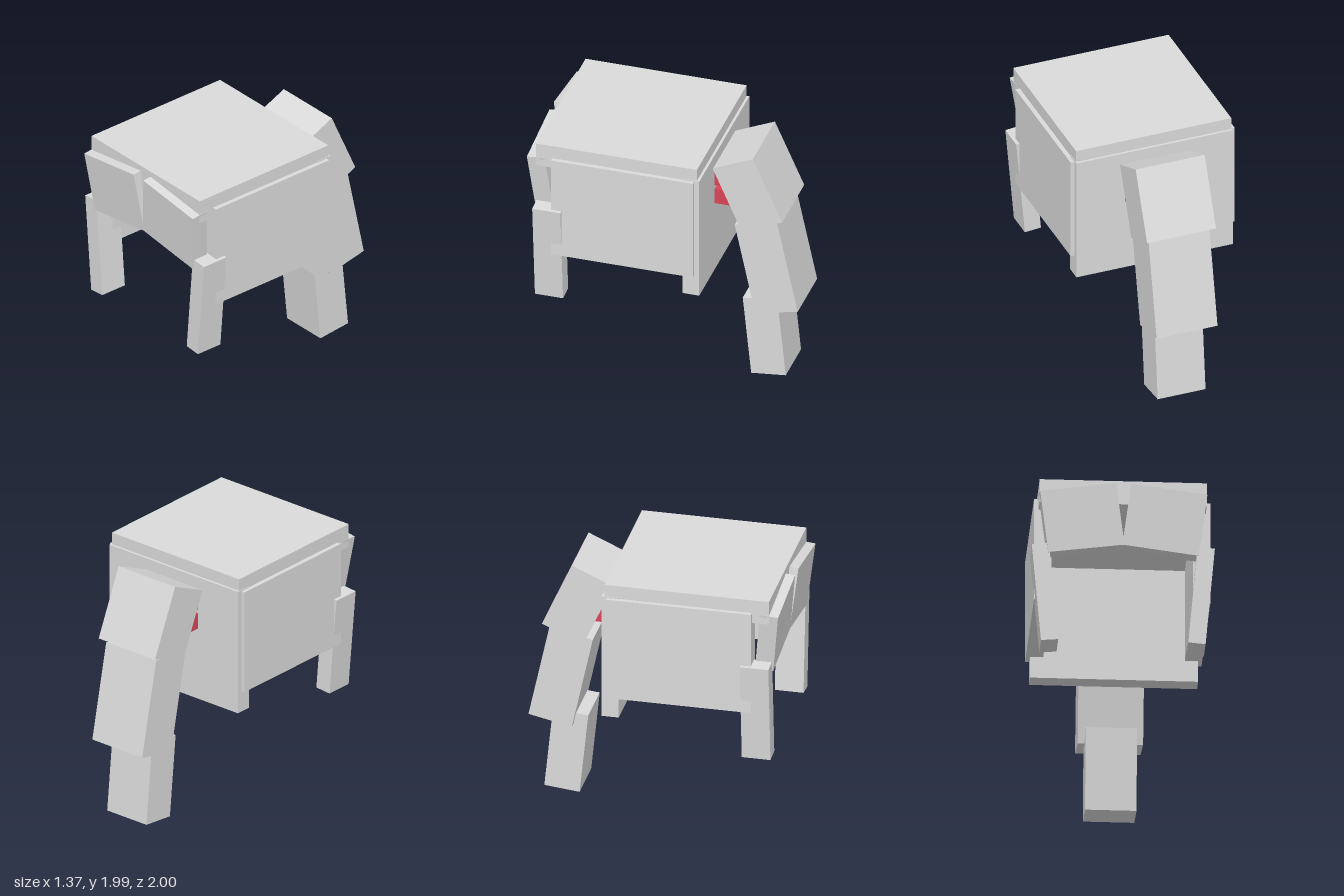
import * as THREE from 'three';

export function createModel() {
  const model = new THREE.Group();
  const grey = new THREE.MeshStandardMaterial({ color: 0xdadada });
  grey.name = 'light stone grey';
  const red = new THREE.MeshStandardMaterial({ color: 0xda4558 });
  red.name = 'crimson';
  const rad = THREE.MathUtils.degToRad;

  // Box from size, centre and rotation in degrees (about x, then z)
  function box(name, size, centre, material = grey, rx = 0, rz = 0) {
    const mesh = new THREE.Mesh(new THREE.BoxGeometry(...size), material);
    mesh.name = name;
    mesh.position.set(...centre);
    mesh.rotation.set(rad(rx), 0, rad(rz), 'ZXY');
    model.add(mesh);
  }

  // Hollow shell: top slab and back panel
  box('topSlab', [1.25, 0.19, 1.26], [0, 1.895, 0.3]);
  box('backPanel', [1.26, 1.005, 0.13], [0, 1.392, -0.285]);

  // Mirrored pairs: side panels, tilted brow plates, splayed front legs
  for (const [side, s] of [['left', 1], ['right', -1]]) {
    box(side + 'SidePanel', [0.13, 0.825, 1.11], [s * 0.595, 1.472, 0.245]);
    box(side + 'BrowPlate', [0.575, 0.487, 0.14], [s * 0.31, 1.668, 0.905], grey, 6, -s * 7.6);
    box(side + 'FrontLeg', [0.13, 0.793, 0.22], [s * 0.586, 1.06, 0.83], grey, 0, -s * 5);
  }

  // Jointed rear limb
  box('upperLimb', [0.555, 0.564, 0.345], [0, 1.612, -0.617], grey, 24);
  box('middleLimb', [0.49, 0.765, 0.34], [0, 0.976, -0.754], grey, 12.1);
  box('lowerLimb', [0.385, 0.653, 0.272], [0, 0.338, -0.7225], grey, 5.8);

  // Red connectors between the back panel and the limb
  box('upperConnector', [0.48, 0.135, 0.22], [0, 1.698, -0.43], red);
  box('lowerConnector', [0.48, 0.125, 0.24], [0, 1.535, -0.45], red);

  return model;
}
